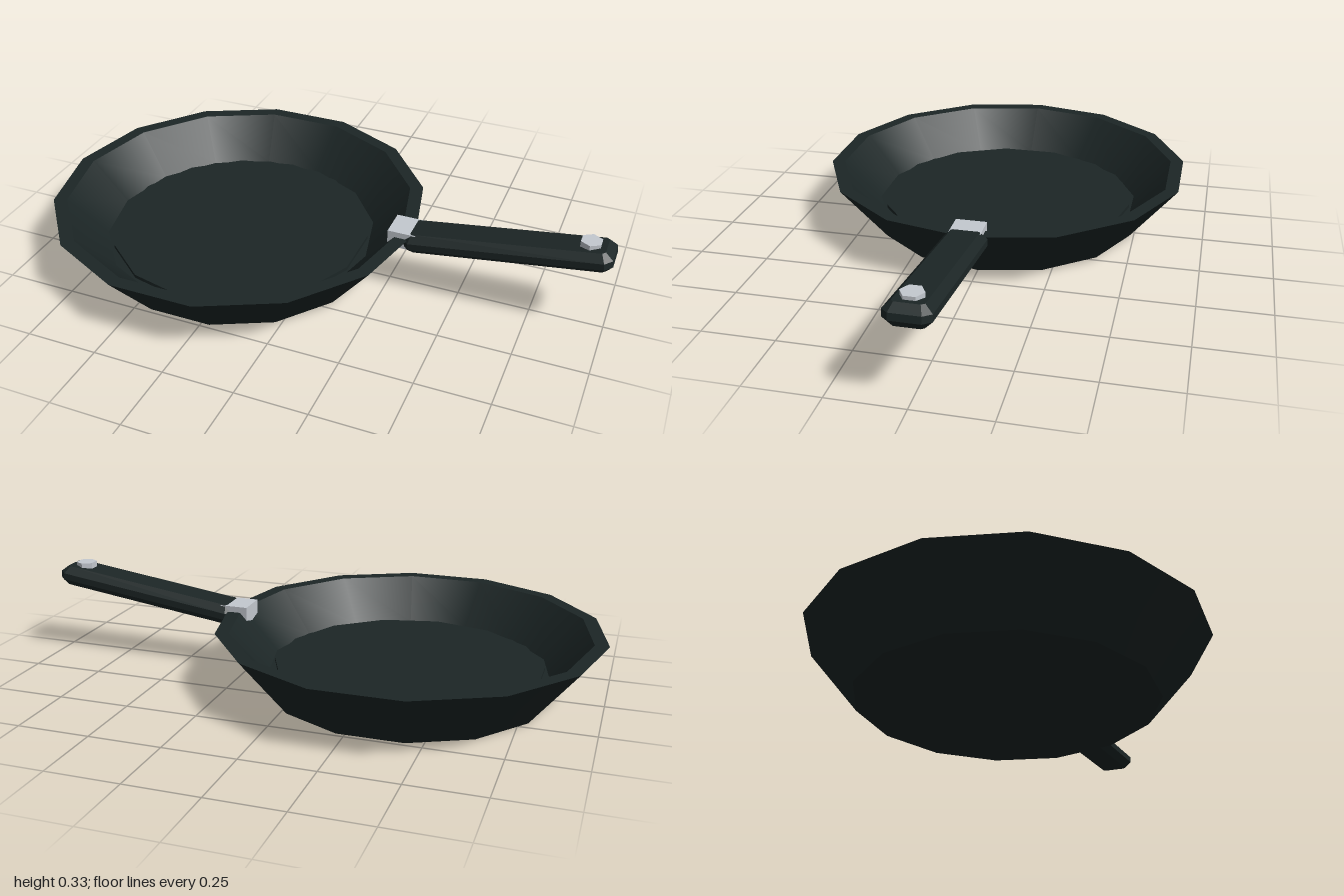
import * as THREE from 'three';

const dark = new THREE.MeshStandardMaterial({ color: 0x1c2626 });
dark.name = 'darkIron';
const steel = new THREE.MeshStandardMaterial({ color: 0xc4c9d0 });
steel.name = 'steel';

const SIDES = 14;
const PAN_X = -0.332;

function part(parent, name, geometry, material, x = 0, y = 0, z = 0) {
  const mesh = new THREE.Mesh(geometry, material);
  mesh.name = name;
  mesh.position.set(x, y, z);
  parent.add(mesh);
  return mesh;
}

// Box with chamfers on every edge, centred on the origin
function chamferedBox(length, height, width, bevel, corner) {
  const a = length / 2 - bevel, b = width / 2 - bevel, c = corner;
  const shape = new THREE.Shape([
    [a, -b + c], [a, b - c], [a - c, b], [-a + c, b],
    [-a, b - c], [-a, -b + c], [-a + c, -b], [a - c, -b],
  ].map(([x, y]) => new THREE.Vector2(x, y)));
  const depth = height - 2 * bevel;
  const g = new THREE.ExtrudeGeometry(shape, {
    depth, bevelEnabled: true, bevelSegments: 1, bevelSize: bevel, bevelThickness: bevel,
  });
  g.translate(0, 0, -depth / 2);
  g.rotateX(-Math.PI / 2);
  return g;
}

export function createModel() {
  const model = new THREE.Group();
  model.name = 'fryingPan';

  // Pan body: one ring per profile step, so creases stay sharp while walls are smooth
  const pan = new THREE.Group();
  pan.name = 'panBody';
  pan.position.x = PAN_X;
  model.add(pan);
  const profile = [[0, 0], [0.497, 0], [0.668, 0.21], [0.62, 0.21], [0.488, 0.064], [0, 0.064]]
    .map(([r, y]) => new THREE.Vector2(r, y));
  ['base', 'outerWall', 'rim', 'innerWall', 'innerFloor'].forEach((name, i) => {
    part(pan, name, new THREE.LatheGeometry([profile[i], profile[i + 1]], SIDES, Math.PI / 2), dark);
  });

  // Raised cooking surface, turned half a side against the wall
  part(pan, 'cookingSurface', new THREE.CylinderGeometry(0.468, 0.468, 0.014, SIDES), dark, 0, 0.07, 0);

  // Handle rising away from the rim
  const handle = part(model, 'handle', chamferedBox(0.7, 0.071, 0.145, 0.024, 0.01), dark, 0.652, 0.241, 0);
  handle.rotation.z = 0.141;

  // Bracket over the rim, and hexagonal rivet near the handle tip
  part(model, 'bracket', new THREE.BoxGeometry(0.1, 0.061, 0.106), steel, 0.301, 0.2005, 0);
  const hex = new THREE.CylinderGeometry(0.037, 0.037, 0.024, 6).toNonIndexed();
  hex.computeVertexNormals();
  part(model, 'rivet', hex, steel, 0.918, 0.319, 0);

  return model;
}
